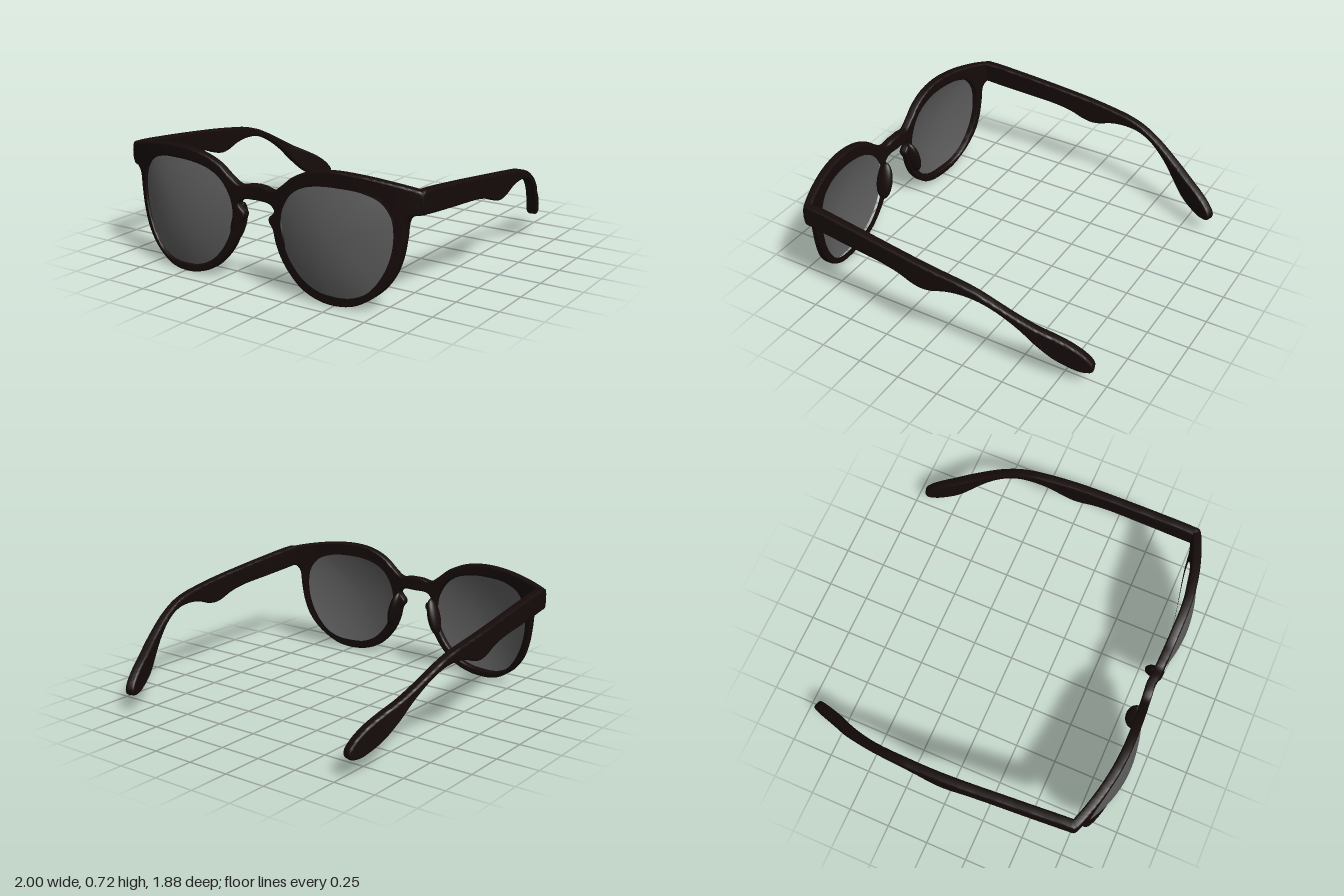
import * as THREE from 'three';
import { toCreasedNormals } from 'three/addons/utils/BufferGeometryUtils.js';

const frameMaterial = new THREE.MeshStandardMaterial({ color: 0x150b0a });
const lensMaterial = new THREE.MeshStandardMaterial({ color: 0x5b5b5b, side: THREE.DoubleSide });

// Smooth closed outline through a few [x, y] points
function outline(points, count) {
  const curve = new THREE.CatmullRomCurve3(
    points.map(([x, y]) => new THREE.Vector3(x, y, 0)), true, 'centripetal');
  return curve.getSpacedPoints(count).slice(0, count).map(p => new THREE.Vector2(p.x, p.y));
}

// Slab with rounded edges that keeps the outline's size; spans z = 0 to thickness
function slab(shape, thickness, bevel) {
  return new THREE.ExtrudeGeometry(shape, {
    depth: thickness - 2 * bevel, bevelThickness: bevel, bevelSize: bevel,
    bevelOffset: -bevel, bevelSegments: 3, steps: 1,
  }).translate(0, 0, bevel);
}

// Halve long edges so the flat faces can bend, move every vertex by a rule, smooth the edges
function bend(geometry, rule) {
  const source = geometry.attributes.position;
  const corner = i => new THREE.Vector3().fromBufferAttribute(source, i);
  const stack = [], positions = [];
  for (let i = 0; i < source.count; i += 3) stack.push([corner(i), corner(i + 1), corner(i + 2)]);
  while (stack.length) {
    const tri = stack.pop();
    const lengths = tri.map((p, i) => p.distanceTo(tri[(i + 1) % 3]));
    const longest = Math.max(...lengths), i = lengths.indexOf(longest);
    const a = tri[i], b = tri[(i + 1) % 3], c = tri[(i + 2) % 3];
    if (longest > 0.05) {
      const m = a.clone().add(b).multiplyScalar(0.5);
      stack.push([a, m, c], [m, b, c]);
    } else {
      for (const p of tri) {
        const v = p.clone();
        rule(v);
        positions.push(v.x, v.y, v.z);
      }
    }
  }
  const bent = new THREE.BufferGeometry();
  bent.setAttribute('position', new THREE.Float32BufferAttribute(positions, 3));
  return toCreasedNormals(bent, 0.7);
}

// Wrap of the front: depth of its front surface at x
function frontZ(x) {
  const d = Math.abs(x) - 0.4;
  return 0.907 - (d < 0 ? 0.12 : 0.37) * d * d;
}

const mirrorX = ([x, y]) => [-x, y];

// Half outline, from the top of the bridge around the rim to the nose notch
const halfRim = [
  [0.04, 0.566], [0.11, 0.555], [0.17, 0.592], [0.24, 0.648], [0.33, 0.69], [0.42, 0.71],
  [0.53, 0.717], [0.68, 0.707], [0.82, 0.685], [0.92, 0.663], [0.952, 0.652], [0.96, 0.63],
  [0.96, 0.56], [0.95, 0.535], [0.91, 0.528], [0.885, 0.5], [0.872, 0.4], [0.855, 0.3],
  [0.82, 0.2], [0.76, 0.115], [0.68, 0.05], [0.6, 0.012], [0.5, 0], [0.4, 0.012],
  [0.3, 0.052], [0.22, 0.12], [0.16, 0.2], [0.125, 0.28], [0.108, 0.345], [0.083, 0.38],
  [0.083, 0.405], [0.105, 0.425], [0.12, 0.447], [0.1, 0.472], [0.07, 0.482], [0.03, 0.483],
];

const lensPoints = [
  [0.53, 0.645], [0.66, 0.635], [0.76, 0.595], [0.815, 0.52], [0.83, 0.42], [0.815, 0.3],
  [0.765, 0.18], [0.69, 0.09], [0.6, 0.05], [0.5, 0.043], [0.4, 0.055], [0.3, 0.105],
  [0.215, 0.2], [0.17, 0.3], [0.158, 0.4], [0.175, 0.48], [0.23, 0.565], [0.31, 0.615],
  [0.42, 0.64],
];

function createFront() {
  const points = [...halfRim, ...halfRim.map(mirrorX).reverse()];
  const shape = new THREE.Shape(outline(points, 420));
  for (const pts of [lensPoints, lensPoints.map(mirrorX)]) {
    shape.holes.push(new THREE.Path(outline(pts, 110)));
  }
  const geometry = bend(slab(shape, 0.053, 0.01), v => { v.z += frontZ(v.x) - 0.053; });
  const mesh = new THREE.Mesh(geometry, frameMaterial);
  mesh.name = 'frontFrame';
  return mesh;
}

// Domed lens made of rings around its middle, with its edge seated inside the rim
function createLens(side) {
  const rim = outline(lensPoints, 80);
  const rings = 12, n = rim.length, positions = [], index = [];
  for (let r = 0; r <= rings; r++) {
    const t = r / rings;
    for (const p of rim) {
      const x = 0.49 + (p.x - 0.49) * t * 1.045;
      const y = 0.345 + (p.y - 0.345) * t * 1.045;
      positions.push(side * x, y, frontZ(x) - 0.022 + 0.054 * (1 - t * t));
    }
  }
  for (let r = 0; r < rings; r++) {
    for (let i = 0; i < n; i++) {
      const a = r * n + i, b = r * n + (i + 1) % n, c = a + n, d = b + n;
      // The rim runs clockwise on the left lens and is mirrored on the right
      if (side > 0) index.push(a, d, c, ...(r ? [a, b, d] : []));
      else index.push(a, c, d, ...(r ? [a, d, b] : []));
    }
  }
  const geometry = new THREE.BufferGeometry();
  geometry.setAttribute('position', new THREE.Float32BufferAttribute(positions, 3));
  geometry.setIndex(index);
  geometry.computeVertexNormals();
  const mesh = new THREE.Mesh(geometry, lensMaterial);
  mesh.name = side > 0 ? 'leftLens' : 'rightLens';
  return mesh;
}

function createNosePad(side) {
  const mesh = new THREE.Mesh(new THREE.SphereGeometry(1, 28, 20), frameMaterial);
  mesh.scale.set(0.034, 0.12, 0.055);
  mesh.position.set(side * 0.152, 0.33, 0.845);
  mesh.rotation.z = side * 0.25;
  mesh.name = side > 0 ? 'leftNosePad' : 'rightNosePad';
  return mesh;
}

// Side outline of a temple as [distance behind the centre, height]
const templePoints = [
  [-0.785, 0.655], [-0.74, 0.66], [-0.5, 0.64], [-0.25, 0.613], [0, 0.583], [0.15, 0.562],
  [0.25, 0.546], [0.35, 0.518], [0.45, 0.472], [0.55, 0.415], [0.65, 0.356], [0.75, 0.302],
  [0.83, 0.255], [0.9, 0.198], [0.935, 0.145], [0.925, 0.108], [0.87, 0.1], [0.81, 0.12],
  [0.73, 0.165], [0.65, 0.242], [0.55, 0.35], [0.45, 0.427], [0.35, 0.47], [0.25, 0.48],
  [0.15, 0.467], [0.06, 0.437], [0, 0.43], [-0.06, 0.441], [-0.14, 0.47], [-0.25, 0.492],
  [-0.5, 0.512], [-0.74, 0.532], [-0.785, 0.54],
];

// Sideways position of a temple along its length, as [z, x]
const templePath = [
  [0.8, 0.935], [0.4, 0.956], [0, 0.971], [-0.3, 0.96], [-0.46, 0.938],
  [-0.62, 0.892], [-0.76, 0.835], [-0.95, 0.77],
];

// Smooth lookup of x on the temple path
function templeX(z) {
  let i = 0;
  while (i < templePath.length - 2 && z < templePath[i + 1][0]) i++;
  const slope = k => {
    const a = templePath[Math.max(k - 1, 0)], b = templePath[Math.min(k + 1, templePath.length - 1)];
    return (b[1] - a[1]) / (b[0] - a[0]);
  };
  const [z0, x0] = templePath[i], [z1, x1] = templePath[i + 1];
  const h = z1 - z0, t = (z - z0) / h, s = 1 - t;
  return x0 * s * s * (1 + 2 * t) + x1 * t * t * (1 + 2 * s)
    + h * t * s * (slope(i) * s - slope(i + 1) * t);
}

function createTemple(side) {
  const shape = new THREE.Shape(outline(templePoints, 240));
  const geometry = slab(shape, 0.054, 0.012).translate(0, 0, -0.027).rotateY(Math.PI / 2);
  const mesh = new THREE.Mesh(bend(geometry, v => {
    // Keep the thickness square to the path
    const slope = (templeX(v.z + 0.01) - templeX(v.z - 0.01)) / 0.02;
    const x = v.x + side * templeX(v.z);
    v.z -= side * v.x * slope;
    v.x = x;
  }), frameMaterial);
  mesh.name = side > 0 ? 'leftTemple' : 'rightTemple';
  return mesh;
}

export function createModel() {
  const group = new THREE.Group();
  group.name = 'sunglasses';
  group.add(createFront());
  for (const side of [1, -1]) {
    group.add(createLens(side), createNosePad(side), createTemple(side));
  }
  return group;
}
